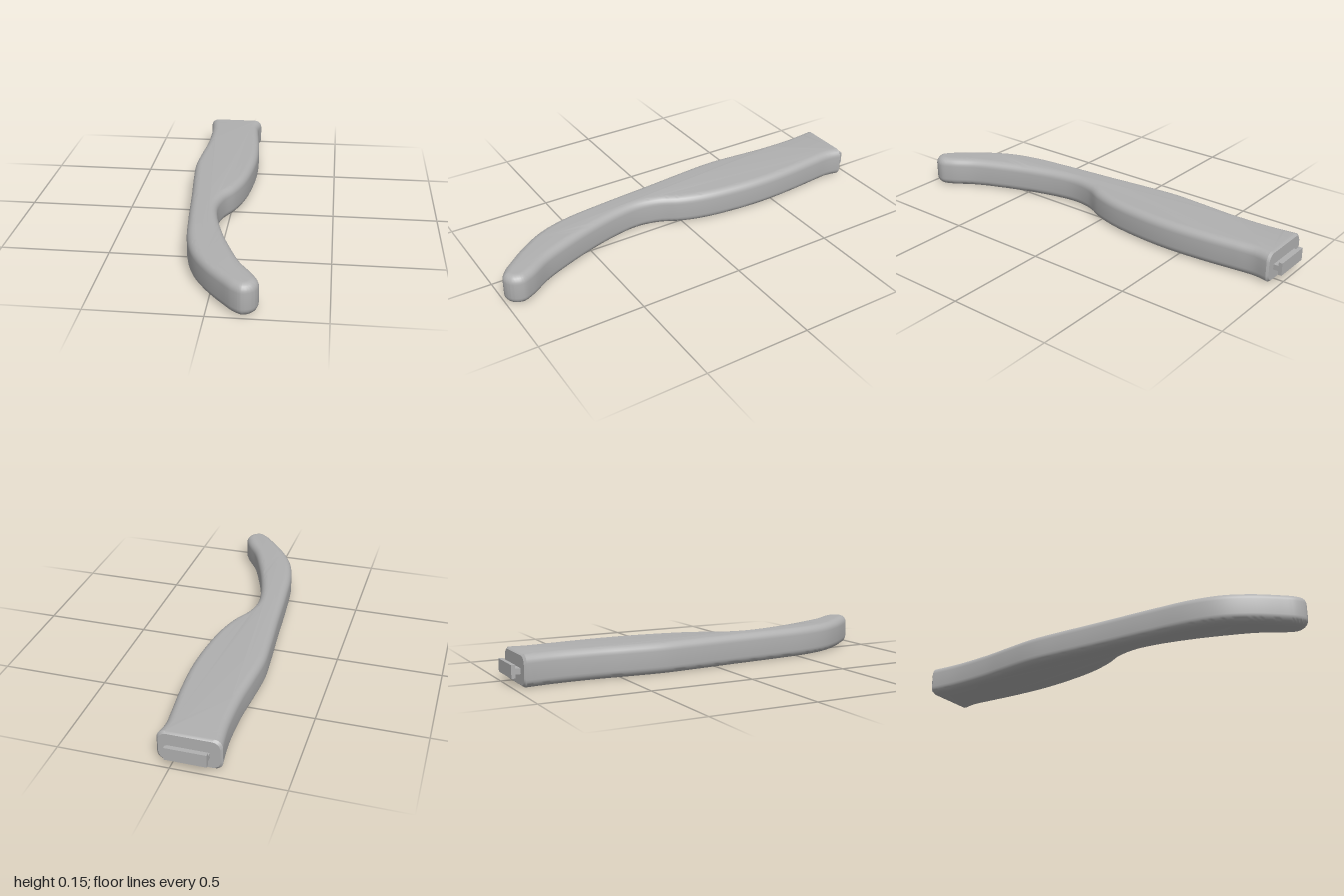
import * as THREE from 'three';
import { toCreasedNormals } from 'three/addons/utils/BufferGeometryUtils.js';

const HEIGHT = 0.146, FILLET = 0.037, STEPS = 6;

// Plan outline as x, z: down one side, round the tip, back up the other side
const OUTLINE = [
  [-0.215, -0.948], [-0.207, -0.89], [-0.198, -0.79], [-0.198, -0.6], [-0.209, -0.45],
  [-0.217, -0.29], [-0.205, -0.13], [-0.184, 0.08], [-0.16, 0.35], [-0.134, 0.56],
  [-0.093, 0.7], [-0.024, 0.82], [0.056, 0.92], [0.108, 0.975], [0.15, 0.996],
  [0.195, 0.975], [0.213, 0.93], [0.193, 0.875], [0.124, 0.765], [0.066, 0.63],
  [0.013, 0.48], [-0.028, 0.32], [-0.039, 0.21], [-0.02, 0.11], [0.024, 0.02],
  [0.061, -0.1], [0.087, -0.29], [0.093, -0.45], [0.083, -0.63], [0.066, -0.79],
  [0.059, -0.88], [0.07, -0.948],
];

// Edge section at an outline point, from the bottom face round to the top face
function section(p, nx, nz, shrink = 0) {
  const ring = [];
  for (const side of [-1, 1]) {
    for (let k = 0; k <= STEPS; k++) {
      const a = (side < 0 ? STEPS - k : k) / STEPS * Math.PI / 2;
      const inset = FILLET * (1 - Math.cos(a)) + shrink;
      const y = HEIGHT / 2 + side * (HEIGHT / 2 - FILLET * (1 - Math.sin(a)) - shrink);
      ring.push(new THREE.Vector3(p.x - nx * inset, y, p.z - nz * inset));
    }
  }
  return ring;
}

function bodyGeometry() {
  const curve = new THREE.CatmullRomCurve3(OUTLINE.map(([x, z]) => new THREE.Vector3(x, 0, z)));
  const n = (OUTLINE.length - 1) * 8;
  const rings = [];
  for (let i = 0; i <= n; i++) {
    const p = curve.getPoint(i / n), t = curve.getTangent(i / n);
    // The flat end keeps its edge sections square to the length
    const end = i === 0 ? -1 : i === n ? 1 : 0;
    rings.push(section(p, end || -t.z, end ? 0 : t.x));
    if (end) {
      const lip = section(p.clone().setZ(p.z - 0.01), end, 0, 0.008);
      if (end < 0) rings.unshift(lip); else rings.push(lip);
    }
  }

  const out = [];
  const tri = (...v) => v.forEach((q) => out.push(q.x, q.y, q.z));
  const last = rings.length - 1, top = rings[0].length - 1;

  // Rounded side wall
  for (let i = 0; i < last; i++) {
    for (let j = 0; j < top; j++) {
      const a = rings[i][j], b = rings[i + 1][j], c = rings[i][j + 1], d = rings[i + 1][j + 1];
      tri(a, b, c);
      tri(b, d, c);
    }
  }
  // Flat top and bottom, with the narrow lip strip at the end
  for (const j of [0, top]) {
    const face = (a, b, c) => (j === top ? tri(a, b, c) : tri(a, c, b));
    const loop = rings.slice(1, last).map((r) => r[j]);
    const flat = loop.map((v) => new THREE.Vector2(v.x, v.z));
    for (const [a, b, c] of THREE.ShapeUtils.triangulateShape(flat, [])) {
      const up = THREE.ShapeUtils.isClockWise([flat[a], flat[b], flat[c]]);
      if (up) face(loop[a], loop[b], loop[c]);
      else face(loop[a], loop[c], loop[b]);
    }
    face(rings[0][j], rings[1][j], rings[last - 1][j]);
    face(rings[0][j], rings[last - 1][j], rings[last][j]);
  }
  // Flat end face
  const cap = [...rings[0], ...[...rings[last]].reverse()];
  for (let i = 1; i < cap.length - 1; i++) tri(cap[0], cap[i], cap[i + 1]);

  const g = new THREE.BufferGeometry();
  g.setAttribute('position', new THREE.Float32BufferAttribute(out, 3));
  return toCreasedNormals(g, 0.7);
}

export function createModel() {
  const model = new THREE.Group();
  model.name = 'curvedHandle';
  const grey = new THREE.MeshStandardMaterial({ color: 0xb0b0b0 });
  grey.name = 'plain grey';

  const add = (name, geometry, x = 0, y = 0, z = 0) => {
    const mesh = new THREE.Mesh(geometry, grey);
    mesh.name = name;
    mesh.position.set(x, y, z);
    model.add(mesh);
  };

  add('handleBody', bodyGeometry());
  // T-shaped connector on the flat end
  add('connectorStem', new THREE.BoxGeometry(0.184, 0.026, 0.034), -0.069, 0.069, -0.967);
  add('connectorPlate', new THREE.BoxGeometry(0.184, 0.06, 0.018), -0.069, 0.069, -0.991);
  return model;
}
